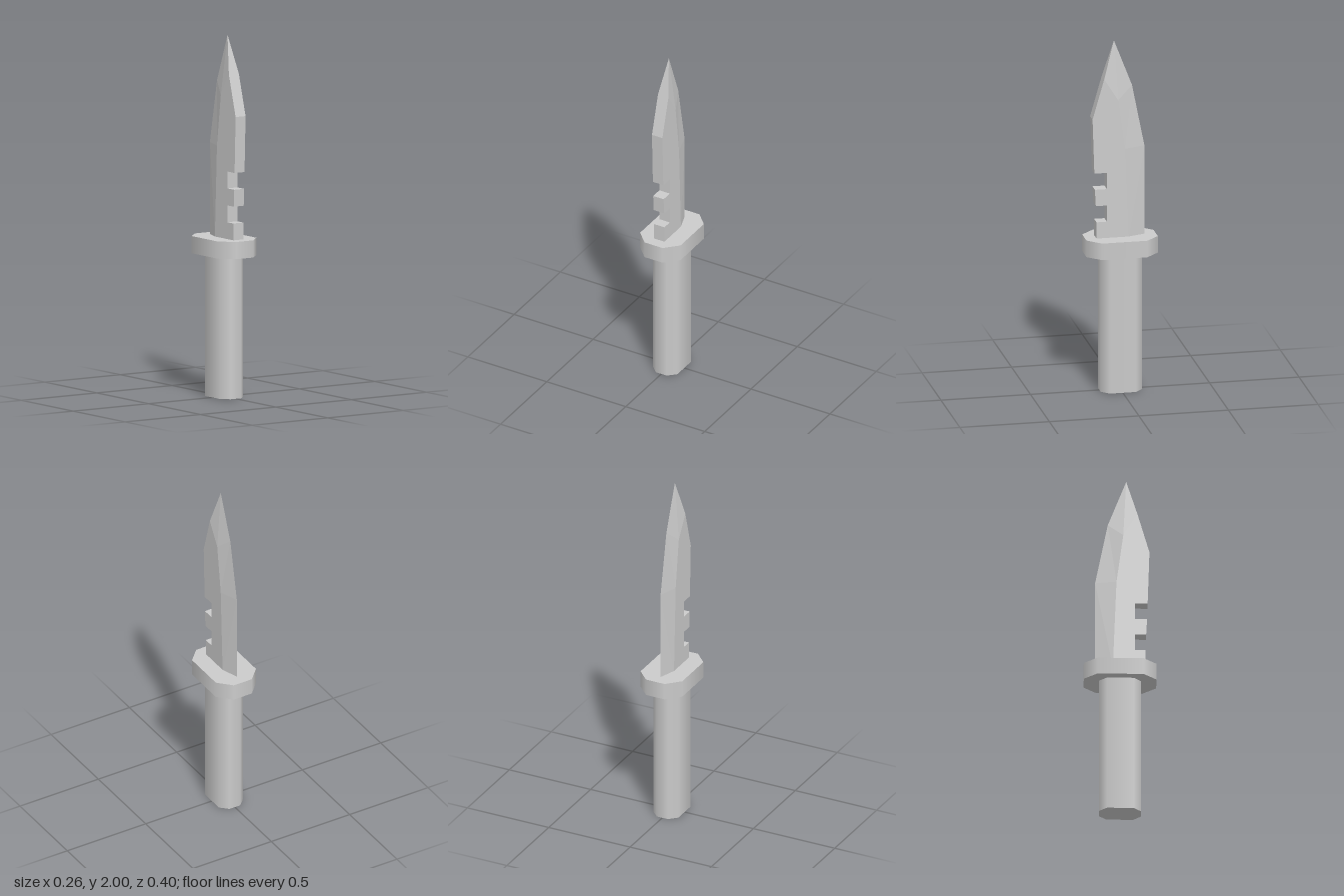
import * as THREE from 'three';

const HALF = 0.033; // half thickness of the blade

// Octagonal prism: outer half sizes x, z and the start of the chamfers cx, cz
function octagonPrism(name, x, z, cx, cz, y0, y1) {
  const geo = new THREE.CylinderGeometry(1, 1, y1 - y0, 8, 1, false, Math.PI / 8);
  const p = geo.attributes.position;
  for (let i = 0; i < p.count; i++) {
    const px = p.getX(i), pz = p.getZ(i);
    const r = Math.hypot(px, pz);
    if (r < 0.5) continue; // cap centres
    p.setX(i, Math.sign(px) * (Math.abs(px) > 0.7 ? x : cx));
    p.setZ(i, Math.sign(pz) * (Math.abs(pz) > 0.7 ? z : cz));
  }
  geo.translate(0, (y0 + y1) / 2, 0);
  const mesh = new THREE.Mesh(geo, new THREE.MeshStandardMaterial({ color: 0xcccccc }));
  mesh.name = name;
  return mesh;
}

function buildBlade() {
  // All points are [z, y]
  const ridge = [[-0.04, 0.87], [-0.02, 1.384], [0.017, 1.665], [0.095, 1.79]];
  const edge = [[-0.136, 0.87], [-0.136, 1.388], [-0.067, 1.738], [0.034, 2]];
  // Spine from the point down, with two square notches
  const spine = [
    [0.16, 1.563], [0.15, 1.253], [0.08, 1.253], [0.08, 1.16], [0.147, 1.16],
    [0.142, 1.066], [0.08, 1.066], [0.08, 0.973], [0.138, 0.973], [0.138, 0.87],
  ];
  const positions = [];
  const tri = (...pts) => pts.forEach(([x, q]) => positions.push(x, q[1], q[0]));
  // Same triangle on both sides of the blade
  const mirrored = (a, b, c) => {
    tri(a, b, c);
    const flip = ([x, q]) => [-x, q];
    tri(flip(a), flip(c), flip(b));
  };

  // Flat cheeks
  const cheek = [...ridge, ...spine];
  const contour = cheek.map(([z, y]) => new THREE.Vector2(-z, y));
  for (const [a, b, c] of THREE.ShapeUtils.triangulateShape(contour, [])) {
    mirrored([HALF, cheek[a]], [HALF, cheek[b]], [HALF, cheek[c]]);
  }
  // Ground bevels from the ridge to the cutting edge
  for (let i = 0; i < ridge.length - 1; i++) {
    mirrored([HALF, ridge[i]], [0, edge[i]], [0, edge[i + 1]]);
    mirrored([HALF, ridge[i]], [0, edge[i + 1]], [HALF, ridge[i + 1]]);
  }
  // Point and back wall
  const top = ridge[ridge.length - 1];
  tri([0, edge[edge.length - 1]], [-HALF, top], [HALF, top]);
  const back = [top, ...spine];
  for (let i = 0; i < back.length - 1; i++) {
    const a = back[i], b = back[i + 1];
    tri([HALF, a], [-HALF, a], [-HALF, b]);
    tri([HALF, a], [-HALF, b], [HALF, b]);
  }

  const geo = new THREE.BufferGeometry();
  geo.setAttribute('position', new THREE.Float32BufferAttribute(positions, 3));
  geo.computeVertexNormals();
  const mesh = new THREE.Mesh(geo, new THREE.MeshStandardMaterial({ color: 0xcccccc, flatShading: true }));
  mesh.name = 'blade';
  return mesh;
}

export function createModel() {
  const group = new THREE.Group();
  group.name = 'knife';
  group.add(
    octagonPrism('grip', 0.077, 0.115, 0.034, 0.073, 0, 0.785),
    octagonPrism('guard', 0.128, 0.199, 0.057, 0.126, 0.785, 0.88),
    buildBlade(),
  );
  return group;
}
